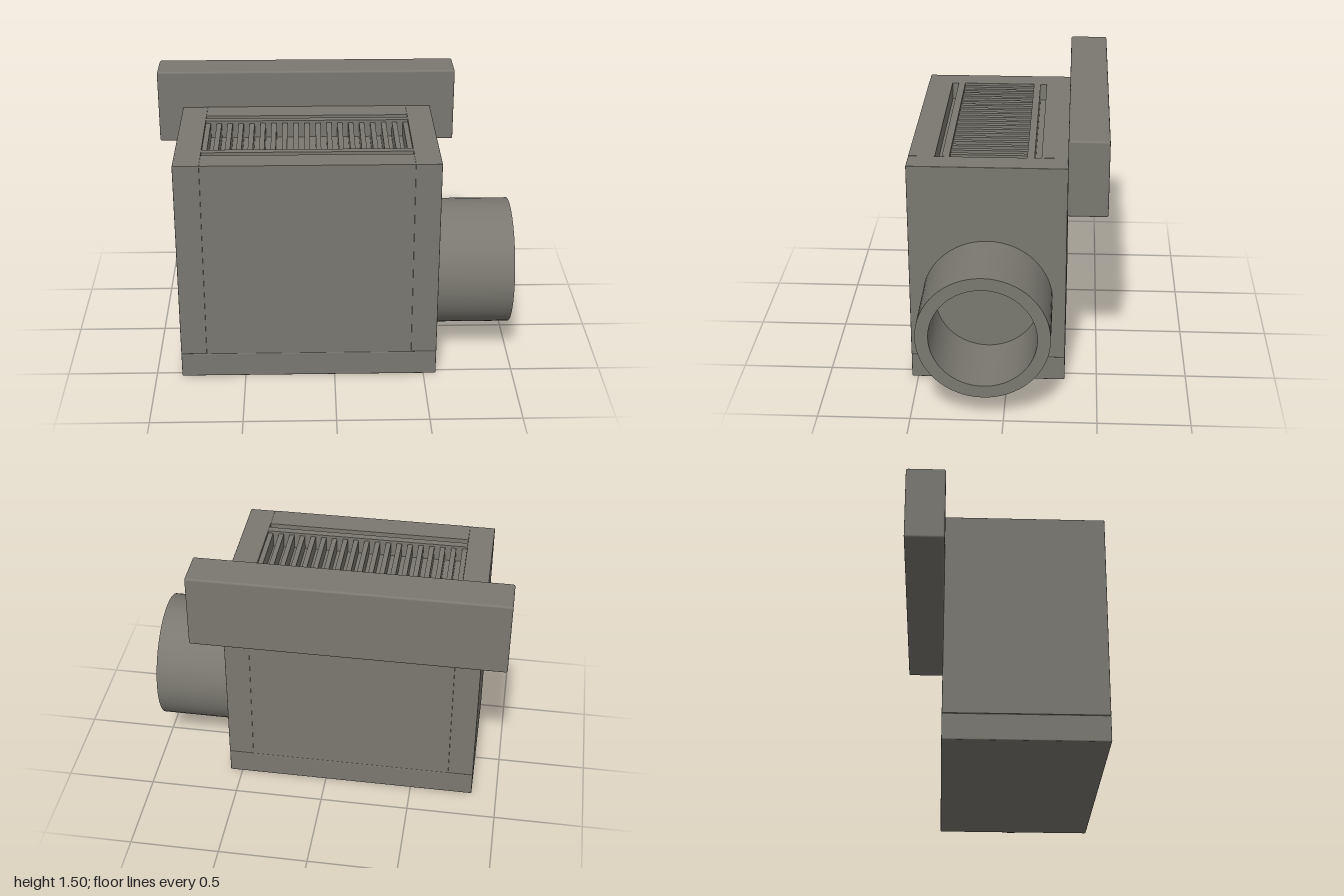
import * as THREE from 'three';
import { RoundedBoxGeometry } from 'three/addons/geometries/RoundedBoxGeometry.js';

const castMetal = new THREE.MeshStandardMaterial({ color: 0x7a7870 });
castMetal.name = 'castMetal';

export function createModel() {
  const model = new THREE.Group();
  model.name = 'ventedHousing';

  // box given by its two extreme corners, optionally with softened edges
  const box = (name, [x0, y0, z0], [x1, y1, z1], radius = 0, parent = model) => {
    const size = [x1 - x0, y1 - y0, z1 - z0];
    const geometry = radius
      ? new RoundedBoxGeometry(...size, 2, radius)
      : new THREE.BoxGeometry(...size);
    const mesh = new THREE.Mesh(geometry, castMetal);
    mesh.name = name;
    mesh.position.set((x0 + x1) / 2, (y0 + y1) / 2, (z0 + z1) / 2);
    parent.add(mesh);
    return mesh;
  };

  const left = 0.57, right = -0.857, front = 0.535, back = -0.321;
  const innerLeft = 0.428, innerRight = -0.714;
  const floor = 0.143, top = 1.286;
  const midZ = (front + back) / 2;

  // base slab and the two end blocks
  box('base', [right, 0, back], [left, floor, front], 0.006);
  box('rightEndBlock', [right, floor, back], [innerRight, top, front], 0.003);
  box('leftEndBlock', [innerLeft, floor, back], [left, top, front], 0.003);

  // walls, inner core and the rails beside the grille, separated by grooves
  box('core', [innerRight, floor, back + 0.13], [innerLeft, top - 0.1, front - 0.13]);
  for (const [label, s] of [['front', 1], ['back', -1]]) {
    const strip = (name, a, b) => {
      const za = midZ + s * a, zb = midZ + s * b;
      box(name, [innerRight, floor, Math.min(za, zb)], [innerLeft, top, Math.max(za, zb)]);
    };
    strip(label + 'Wall', 0.285, 0.428);
    strip(label + 'GrilleRail', 0.208, 0.248);
  }

  // grille slats, slightly sunk below the rails
  const grille = new THREE.Group();
  grille.name = 'grille';
  model.add(grille);
  const count = 19, first = -0.7, last = 0.414;
  for (let i = 0; i < count; i++) {
    const x = first + (last - first) * i / (count - 1);
    box('slat', [x - 0.014, top - 0.11, midZ - 0.208], [x + 0.014, top - 0.015, midZ + 0.208], 0, grille);
  }

  // hollow side pipe: outer wall, rim and bore
  const pipe = new THREE.Group();
  pipe.name = 'pipe';
  pipe.position.set(left, 0.5, midZ);
  pipe.rotation.z = -Math.PI / 2;
  model.add(pipe);
  const outer = 0.356, bore = 0.286, length = 0.43;
  const surface = (name, a, b) => {
    const points = [new THREE.Vector2(...a), new THREE.Vector2(...b)];
    const mesh = new THREE.Mesh(new THREE.LatheGeometry(points, 64), castMetal);
    mesh.name = name;
    pipe.add(mesh);
  };
  surface('pipeWall', [outer, 0], [outer, length]);
  surface('pipeRim', [outer, length], [bore, length]);
  surface('pipeBore', [bore, length], [bore, 0]);

  // mounting bar behind the upper edge
  box('mountingBar', [-1, 1.075, -0.535], [0.71, 1.5, -0.321], 0.012);

  return model;
}
